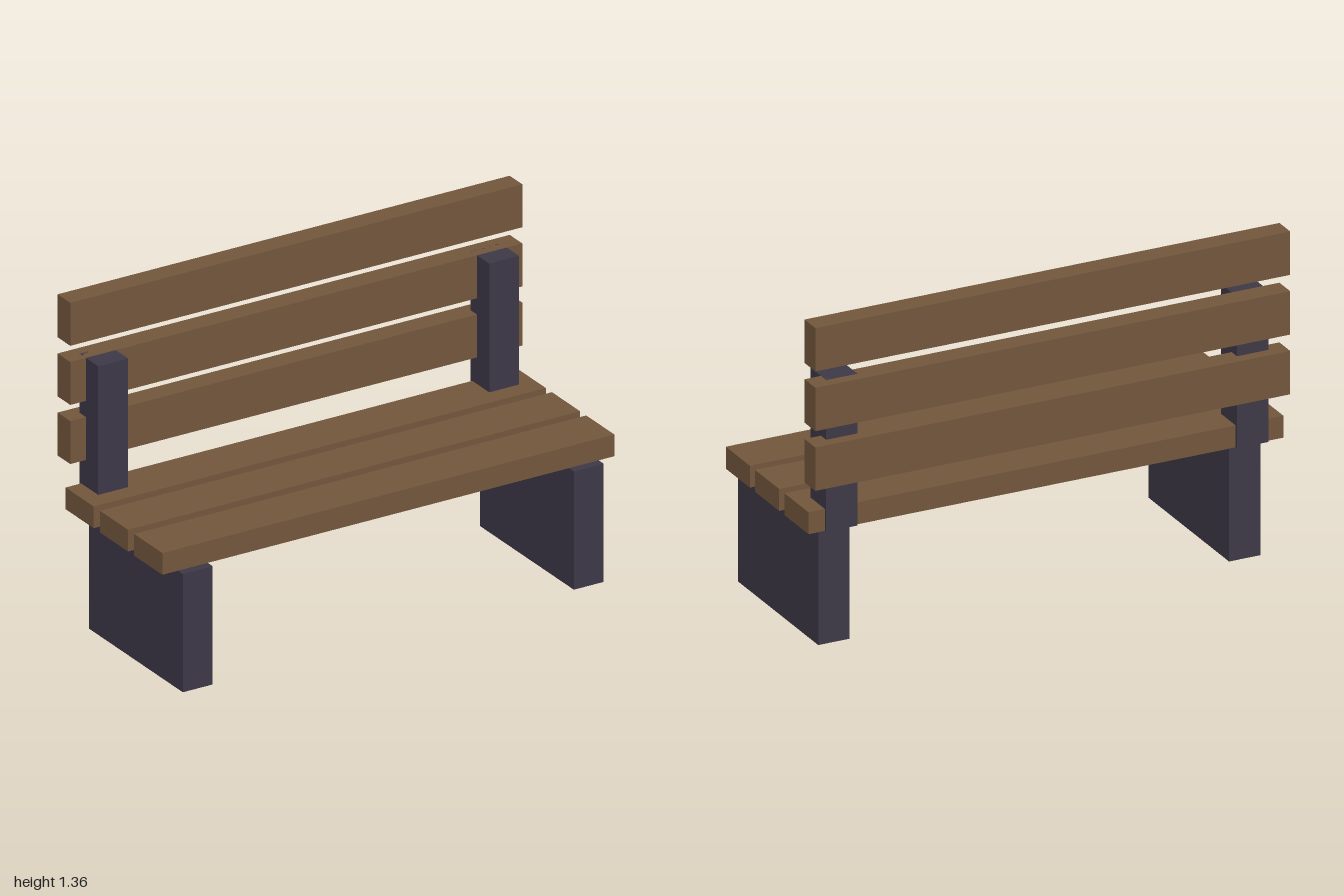
import * as THREE from 'three';

const wood = new THREE.MeshStandardMaterial({ color: 0x73563c, flatShading: true });
const metal = new THREE.MeshStandardMaterial({ color: 0x3d3847, flatShading: true });

// Box given by its min/max extents on each axis
function block(name, material, [x0, x1], [y0, y1], [z0, z1]) {
  const mesh = new THREE.Mesh(new THREE.BoxGeometry(x1 - x0, y1 - y0, z1 - z0), material);
  mesh.position.set((x0 + x1) / 2, (y0 + y1) / 2, (z0 + z1) / 2);
  mesh.name = name;
  return mesh;
}

export function createModel() {
  const bench = new THREE.Group();
  bench.name = 'bench';

  // Three seat slats and three backrest slats, evenly spaced
  for (let i = 0; i < 3; i++) {
    const z = 0.255 - i * 0.244;
    bench.add(block(`seatSlat${i + 1}`, wood, [-1, 1], [0.49, 0.58], [z - 0.1, z + 0.1]));
    const y = 0.69 + i * 0.245;
    bench.add(block(`backSlat${i + 1}`, wood, [-1, 1], [y, y + 0.178], [-0.39, -0.3]));
  }

  // Slab leg and backrest post on each side
  for (const [side, x] of [['left', 0.865], ['right', -0.865]]) {
    const width = [x - 0.066, x + 0.066];
    bench.add(block(`${side}Leg`, metal, width, [0, 0.49], [-0.278, 0.39]));
    bench.add(block(`${side}BackPost`, metal, width, [0.49, 1.113], [-0.344, -0.212]));
  }
  return bench;
}
